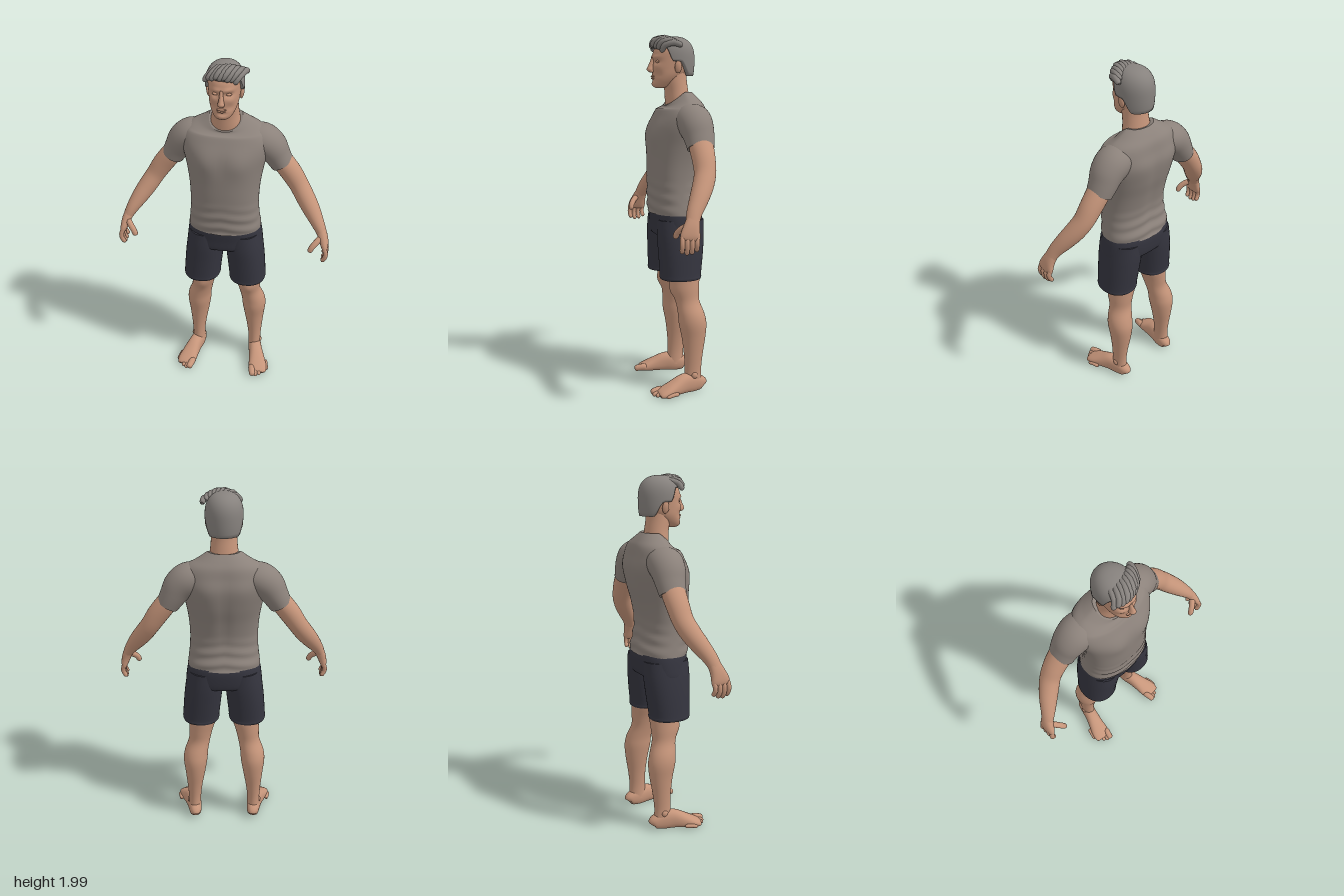
import * as THREE from 'three';

const mat = (name, color) => Object.assign(new THREE.MeshStandardMaterial({ color, side: THREE.DoubleSide }), { name });
const skin = mat('skin', 0xc6957a);
const shirt = mat('shirt grey', 0x8c827b);
const navy = mat('shorts navy', 0x35353f);
const grey = mat('hair grey', 0x87827e);

const gauss = (dx, dy, rx, ry) => Math.exp(-(dx * dx) / (rx * rx) - (dy * dy) / (ry * ry));
const catmull = (a, b, c, d, t) =>
  0.5 * (2 * b + (c - a) * t + (2 * a - 5 * b + 4 * c - d) * t * t + (3 * b - a - 3 * c + d) * t * t * t);

// Smooth skin over closed rings of points, with optional flat caps
function skinRings(rings, caps) {
  const n = rings[0].length, pos = [], idx = [];
  rings.forEach(r => r.forEach(p => pos.push(p.x, p.y, p.z)));
  for (let i = 0; i < rings.length - 1; i++) for (let j = 0; j < n; j++) {
    const a = i * n + j, b = i * n + (j + 1) % n;
    idx.push(a, a + n, b, b, a + n, b + n);
  }
  if (caps) [rings[0], rings[rings.length - 1]].forEach((r, end) => {
    const base = pos.length / 3, mid = new THREE.Vector3();
    r.forEach(p => { pos.push(p.x, p.y, p.z); mid.addScaledVector(p, 1 / n); });
    pos.push(mid.x, mid.y, mid.z);
    for (let j = 0; j < n; j++) {
      const a = base + j, b = base + (j + 1) % n;
      if (end) idx.push(base + n, b, a); else idx.push(base + n, a, b);
    }
  });
  const g = new THREE.BufferGeometry();
  g.setAttribute('position', new THREE.Float32BufferAttribute(pos, 3));
  g.setIndex(idx);
  g.computeVertexNormals();
  return g;
}

// Loft through sections [x, y, z, halfWidth, halfDepth], smoothed between them
function loft(secs, { n = 28, sub = 4, e = 2, tilt = false, ref = [0, 0, 1], rule } = {}) {
  const rows = [];
  for (let i = 0; i < secs.length - 1; i++) for (let k = 0; k < sub; k++) {
    const s = d => secs[Math.min(secs.length - 1, Math.max(0, i + d))];
    rows.push(s(0).map((_, c) => catmull(s(-1)[c], s(0)[c], s(1)[c], s(2)[c], k / sub)));
  }
  rows.push(secs[secs.length - 1]);
  const at = i => new THREE.Vector3(...rows[Math.min(rows.length - 1, Math.max(0, i))].slice(0, 3));
  const pw = c => Math.sign(c) * Math.abs(c) ** (2 / e);
  const rings = rows.map((r, i) => {
    const t = at(i + 1).sub(at(i - 1)).normalize();
    if (!tilt) t.set(0, Math.sign(t.y), 0);
    const v = new THREE.Vector3(...ref);
    v.addScaledVector(t, -v.dot(t)).normalize();
    const u = t.clone().cross(v);
    return Array.from({ length: n }, (_, j) => {
      const q = j / n * Math.PI * 2;
      const p = at(i).addScaledVector(u, r[3] * pw(Math.cos(q))).addScaledVector(v, r[4] * pw(Math.sin(q)));
      if (rule) rule(p);
      return p;
    });
  });
  return skinRings(rings, true);
}

// Rounded finger, toe or lock of hair along a few points
function digit(pts, r, opt = {}) {
  const curve = new THREE.CatmullRomCurve3(pts.map(p => new THREE.Vector3(...p)));
  const secs = [[0, .4], [.07, .9], [.3, 1], [.6, .95], [.85, .9], [.95, .62], [1, .15]].map(([t, k]) => [...curve.getPoint(t).toArray(), r * k, r * k]);
  return loft(secs, { n: 12, sub: 2, tilt: true, ...opt });
}

export function createModel() {
  const model = new THREE.Group();
  model.name = 'standing man';
  const add = (name, geo, m) => {
    const mesh = new THREE.Mesh(geo, m);
    mesh.name = name;
    model.add(mesh);
    return mesh;
  };
  const ball = (name, m, p, s, rz = 0) => {
    const b = add(name, new THREE.SphereGeometry(1, 20, 14), m);
    b.position.set(...p);
    b.scale.set(...s);
    b.rotation.z = rz;
  };

  // Shirt body, with chest, spine groove, hem folds and dipped collar
  add('shirtBody', loft([
    [0, 1.02, -.012, .205, .148], [0, 1.06, -.008, .2, .145], [0, 1.12, 0, .193, .139], [0, 1.2, .003, .19, .136],
    [0, 1.3, -.005, .196, .145], [0, 1.4, -.019, .212, .156], [0, 1.5, -.032, .235, .154], [0, 1.57, -.04, .235, .132],
    [0, 1.62, -.048, .2, .112], [0, 1.655, -.045, .14, .092], [0, 1.69, -.03, .09, .076]
  ], {
    n: 64, sub: 6, e: 2.25, rule: p => {
      const x = Math.abs(p.x);
      if (p.z > 0) p.z += .014 * gauss(x - .09, p.y - 1.46, .07, .07);
      else p.z += .008 * gauss(p.x, p.y - 1.35, .03, .2) - .008 * gauss(x - .1, p.y - 1.52, .06, .09);
      if (p.y < 1.24) p.z += Math.sign(p.z) * .004 * Math.sin(p.y * 95 + x * 16) * Math.min(1, (1.24 - p.y) * 9);
      if (p.y > 1.6) p.y -= (p.y - 1.6) / .09 * Math.max(0, p.z + .045) * .8;
    }
  }), shirt);

  // Shorts seat
  add('shortsSeat', loft([
    [0, 1.08, -.005, .182, .13], [0, 1.02, -.014, .203, .142], [0, .96, -.017, .213, .138], [0, .905, -.015, .217, .13], [0, .89, -.014, .2, .11]
  ], { n: 48, e: 2.3 }), navy);

  // Neck
  add('neck', loft([
    [0, 1.58, -.03, .088, .066], [0, 1.64, -.028, .084, .068], [0, 1.7, -.022, .074, .066], [0, 1.76, -.012, .069, .068], [0, 1.82, -.01, .066, .07]
  ]), skin);

  // Head, with eye sockets, brow, cheekbones and jaw shaped by rule
  add('head', loft([
    [0, 1.713, .072, .022, .022], [0, 1.722, .066, .04, .042], [0, 1.745, .05, .058, .064], [0, 1.78, .028, .073, .086], [0, 1.82, .01, .08, .105],
    [0, 1.87, .001, .085, .112], [0, 1.915, -.003, .086, .108], [0, 1.955, -.005, .07, .08], [0, 1.98, -.005, .03, .035]
  ], {
    n: 56, sub: 6, e: 2.2, rule: p => {
      if (p.z < .03) return;
      const x = Math.abs(p.x);
      p.z += .009 * gauss(x - .03, p.y - 1.879, .03, .01) - .016 * gauss(x - .034, p.y - 1.855, .02, .013)
        + .006 * gauss(x - .05, p.y - 1.825, .02, .018) - .006 * gauss(x - .045, p.y - 1.785, .02, .018)
        + .006 * gauss(p.x, p.y - 1.733, .025, .014) - .005 * gauss(p.x, p.y - 1.752, .03, .008);
    }
  }), skin);
  add('nose', loft([
    [0, 1.88, .107, .01, .012], [0, 1.855, .115, .01, .014], [0, 1.83, .122, .013, .018], [0, 1.812, .125, .018, .022], [0, 1.8, .12, .016, .015], [0, 1.796, .115, .008, .008]
  ], { n: 20 }), skin);
  ball('upperLip', skin, [0, 1.776, .113], [.026, .006, .009]);
  ball('lowerLip', skin, [0, 1.765, .112], [.022, .006, .009]);

  // Hair cap: low at the nape, sideburns before the ears, high at the forehead
  const ss = THREE.MathUtils.smoothstep, rings = [];
  for (let r = 0; r <= 18; r++) rings.push(Array.from({ length: 56 }, (_, j) => {
    const q = j / 56 * Math.PI * 2, c = Math.sin(q);
    const low = 1.778 + .078 * ss(c, -.65, -.15) + .072 * ss(c, .2, .55);
    const y = low + (1.993 - low) * Math.sin(Math.max(0, r - 1) / 17 * Math.PI / 2);
    const t = Math.abs(y - 1.87) / (y > 1.87 ? .123 : .2);
    const f = Math.max(0, 1 - t ** 2.5) ** .4 * (r ? 1 : .82);
    return new THREE.Vector3(.102 * f * Math.cos(q), y, -.004 + .12 * f * c);
  }));
  add('hairCap', skinRings(rings, false), grey);

  // Swept locks over the forehead
  for (let i = -4; i <= 4; i++) {
    const x = i * .019 + .008, dy = x * x * 4, dz = x * x * 5, w = i % 2 ? .005 : 0;
    add('hairLock', digit([
      [x + .03, 1.968 - dy, .01 - dz], [x + .018, 1.983 - dy, .06 - dz], [x - .004, 1.965 - dy + w, .105 - dz], [x - .026, 1.932 - dy + w, .113 - dz]
    ], .017, { ref: [1, 0, 0] }), grey);
  }

  for (const s of [1, -1]) {
    const side = s > 0 ? 'left' : 'right';
    const m = secs => secs.map(([x, ...rest]) => [x * s, ...rest]);

    // Ear and eyelid
    ball(side + 'Ear', skin, [.088 * s, 1.826, -.008], [.011, .034, .02], -.15 * s);
    ball(side + 'Eyelid', skin, [.034 * s, 1.855, .092], [.016, .008, .012]);

    // Sleeve
    add(side + 'Sleeve', loft(m([
      [.12, 1.56, -.05, .07, .09], [.19, 1.54, -.06, .09, .1], [.24, 1.502, -.065, .087, .094], [.275, 1.45, -.07, .073, .083], [.305, 1.398, -.07, .063, .074]
    ]), { tilt: true, n: 36 }), shirt);

    // Arm and palm
    add(side + 'Arm', loft(m([
      [.275, 1.45, -.07, .055, .064], [.315, 1.4, -.07, .058, .066], [.362, 1.338, -.068, .058, .062], [.405, 1.272, -.06, .053, .058], [.445, 1.212, -.035, .052, .056],
      [.485, 1.155, -.002, .047, .05], [.525, 1.095, .034, .036, .041], [.55, 1.05, .052, .028, .036]
    ]), { tilt: true }), skin);
    add(side + 'Palm', loft(m([
      [.543, 1.065, .046, .028, .034], [.56, 1.025, .06, .026, .042], [.572, .985, .07, .021, .052], [.576, .962, .073, .014, .05], [.577, .955, .074, .006, .035]
    ]), { tilt: true, e: 2.3 }), skin);

    // Fingers and thumb
    for (let i = 0; i < 4; i++) {
      const z = .033 + i * .026, drop = [.012, 0, -.003, .006][i];
      add(side + 'Finger', digit(m([[.572, .985, z], [.583, .945, z + .004], [.578, .912 + drop, z + .004], [.562, .888 + drop, z]]), .0135), skin);
    }
    add(side + 'Thumb', digit(m([[.552, 1.035, .075], [.525, 1.01, .105], [.503, .985, .122], [.493, .957, .126]]), .017), skin);

    // Shorts leg
    add(side + 'ShortsLeg', loft(m([
      [.105, .99, -.016, .098, .13], [.112, .9, -.014, .107, .132], [.123, .8, -.012, .108, .125], [.133, .69, -.008, .106, .116], [.134, .672, -.008, .107, .117], [.134, .66, -.008, .104, .114]
    ]), { n: 40, e: 2.2 }), navy);

    // Leg with kneecap and calf
    add(side + 'Leg', loft(m([
      [.125, .78, -.02, .085, .09], [.122, .68, -.033, .08, .087], [.135, .6, -.036, .07, .08], [.145, .53, -.046, .063, .068], [.164, .46, -.062, .069, .075],
      [.17, .4, -.07, .07, .079], [.172, .32, -.075, .059, .068], [.176, .22, -.073, .045, .054], [.178, .13, -.07, .037, .048], [.178, .05, -.07, .038, .052]
    ]), {
      n: 36, rule: p => {
        if (p.z > -.04) p.z += .012 * gauss(Math.abs(p.x) - .137, p.y - .59, .035, .04);
      }
    }), skin);

    // Foot, ankle bones and toes
    add(side + 'Foot', loft(m([
      [.172, .035, -.135, .015, .02], [.174, .045, -.122, .032, .038], [.18, .054, -.07, .04, .056], [.194, .056, -.01, .042, .056],
      [.21, .043, .05, .049, .042], [.222, .031, .1, .055, .029], [.23, .022, .135, .05, .019], [.232, .018, .145, .04, .01]
    ]), { tilt: true, ref: [0, 1, 0], e: 2.3, rule: p => { p.y = Math.max(p.y, .008); } }), skin);
    ball(side + 'AnkleBone', skin, [.21 * s, .105, -.07], [.013, .02, .018]);
    for (let i = 0; i < 5; i++) {
      const x = .196 + i * .02, z = .168 - i * i * .0045, r = i ? .0135 - i * .0005 : .02;
      add(side + 'Toe', digit(m([[x - .012, r + .014, z - .06], [x - .003, r + .013, z - .02], [x + .004, r + .004, z + .014]]), r, { ref: [0, 1, 0] }), skin);
    }
  }
  return model;
}
